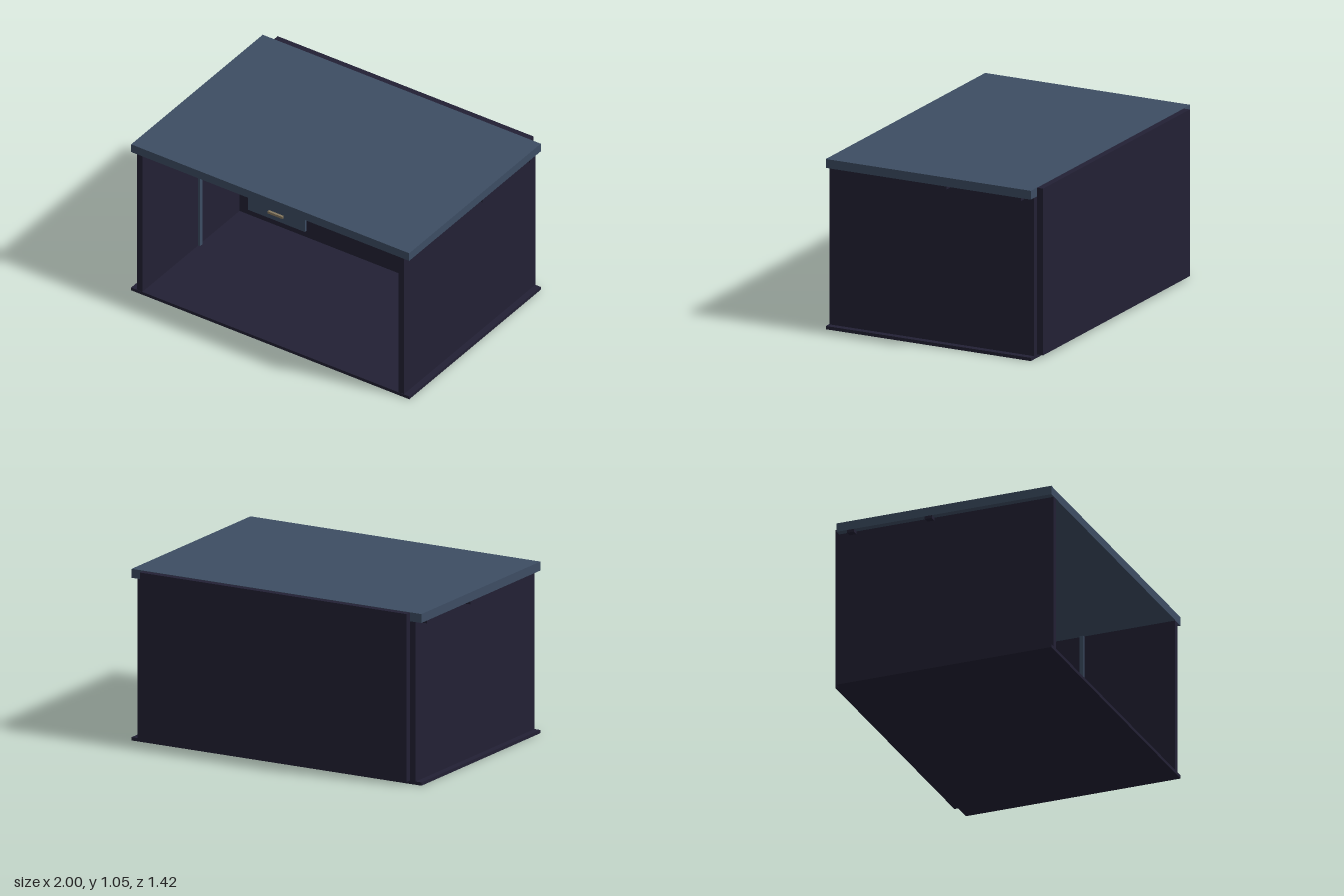
import * as THREE from 'three';

const mat = (name, hex) => Object.assign(new THREE.MeshStandardMaterial({ color: hex }), { name });

export function createModel() {
  const dark = mat('dark', 0x222034), slate = mat('slate', 0x3d4d63), tan = mat('tan', 0x85785f), brown = mat('brown', 0x4c4439);
  const root = new THREE.Group();
  root.name = 'cabin';

  const group = (name) => {
    const g = new THREE.Group();
    g.name = name;
    root.add(g);
    return g;
  };
  const add = (parent, name, geo, m, x = 0, y = 0, z = 0) => {
    const mesh = new THREE.Mesh(geo, m);
    mesh.name = name;
    mesh.position.set(x, y, z);
    parent.add(mesh);
    return mesh;
  };
  // box given by its limits on each axis
  const box = (parent, name, m, x0, x1, y0, y1, z0, z1) =>
    add(parent, name, new THREE.BoxGeometry(x1 - x0, y1 - y0, z1 - z0), m, (x0 + x1) / 2, (y0 + y1) / 2, (z0 + z1) / 2);
  // hollow rectangle of four bars
  const frame = (parent, name, m, x0, x1, y0, y1, z0, z1, t) => {
    box(parent, name, m, x0, x1, y0, y0 + t, z0, z1);
    box(parent, name, m, x0, x1, y1 - t, y1, z0, z1);
    box(parent, name, m, x0, x0 + t, y0 + t, y1 - t, z0, z1);
    box(parent, name, m, x1 - t, x1, y0 + t, y1 - t, z0, z1);
  };
  const disc = (parent, name, m, r, d, x, y, z) =>
    add(parent, name, new THREE.CylinderGeometry(r, r, d, 20).rotateX(Math.PI / 2), m, x, y, z);

  const wallZ = -0.67, deskZ = -0.31, deskY = 0.325;

  // shell
  const shell = group('shell');
  box(shell, 'floor', dark, -1, 1, 0, 0.02, wallZ, 0.71);
  box(shell, 'roof', slate, -1, 1, 1, 1.055, wallZ, 0.71);
  box(shell, 'backWall', dark, -0.92, 0.92, 0.02, 1.053, -0.71, wallZ);
  for (const s of [-1, 1]) {
    const wall = box(shell, 'sideWall', dark, -0.02, 0.02, 0.02, 1, wallZ, 0.708);
    wall.position.x = s * 0.94;
    box(shell, 'wallStrip', slate, s * 0.913 - 0.007, s * 0.913 + 0.007, 0.02, 1, 0.1, 0.125);
  }
  for (const z of [-0.08, -0.58]) box(shell, 'roofBeam', dark, -1, 1, 0.982, 1, z - 0.023, z + 0.023);
  box(shell, 'wallRail', slate, -0.91, 0.91, 0.632, 0.645, wallZ, -0.655);

  // counter with drawers
  const counter = group('counter');
  box(counter, 'counterBase', dark, -0.92, 0.92, 0.02, deskY, wallZ, deskZ);
  box(counter, 'counterEdge', slate, -0.91, 0.91, 0.31, 0.323, deskZ, deskZ + 0.012);
  for (const s of [-1, 1]) for (const y of [0.065, 0.17]) {
    const x = s * 0.645;
    box(counter, 'drawer', slate, x - 0.205, x + 0.205, y, y + 0.1, deskZ, deskZ + 0.015);
    box(counter, 'drawerHandle', tan, x - 0.053, x + 0.053, y + 0.042, y + 0.057, deskZ + 0.015, deskZ + 0.03);
  }

  // wall vents
  const vents = group('vents');
  box(vents, 'ventPanel', dark, -0.81, -0.55, 0.82, 0.905, wallZ, -0.66);
  frame(vents, 'ventFrame', slate, -0.81, -0.55, 0.82, 0.905, -0.66, -0.655, 0.006);
  for (let i = 0; i < 5; i++)
    box(vents, 'ventSlat', slate, -0.81, -0.55, 0.685 + i * 0.019, 0.692 + i * 0.019, wallZ, -0.655);

  // window with pixel landscape
  const win = group('window');
  box(win, 'windowPane', dark, -0.31, 0.31, 0.7, 0.95, wallZ, -0.66);
  frame(win, 'windowFrame', dark, -0.325, 0.325, 0.69, 0.96, wallZ, -0.635, 0.02);
  frame(win, 'frameTrim', brown, -0.325, 0.325, 0.69, 0.96, -0.635, -0.632, 0.005);
  box(win, 'windowSill', brown, -0.34, 0.34, 0.672, 0.688, wallZ, -0.61);
  box(win, 'mullion', slate, -0.008, 0.008, 0.7, 0.95, -0.66, -0.64);
  const p = 0.0095;
  const pixel = (name, m, x, y, h = p, z = -0.656) => box(win, name, m, x, x + p, y, y + h, -0.66, z);
  let seed = 7;
  const rnd = () => (seed = (seed * 16807) % 2147483647) / 2147483647;
  for (const side of [0, 1]) for (let i = 0; i < 30; i++) {
    const t = i / 29, x = side ? 0.012 + i * p : -0.3 + i * p;
    const band = side ? 0.862 + 0.024 * Math.sin(t * 4.6 + 0.4) - 0.01 * t
                      : 0.895 - 0.05 * Math.min(1, t * 2) + 0.006 * Math.sin(t * 9);
    const by = Math.round(band / p) * p;
    pixel('skyBand', tan, x, by);
    pixel('skyBandShade', slate, x, by + p, p, -0.657);
    const d = (t - (side ? 0.48 : 0.6)) / 0.28;
    const hill = Math.round((side ? 0.032 : 0.045) * Math.max(0, 1 - d * d) / p) * p;
    pixel('hill', slate, x, 0.708, 0.014 + hill, -0.657);
    if (hill > 0) pixel('hillTop', tan, x, 0.722 + hill, 0.006);
    if (i % 2 === 0) pixel('star', rnd() > 0.35 ? tan : slate, x, 0.79 + rnd() * 0.14, 0.007);
  }
  box(win, 'horizon', tan, -0.305, 0.305, 0.7, 0.708, -0.66, -0.654);

  // bookshelf
  const shelf = group('shelf');
  box(shelf, 'shelfBoard', slate, 0.385, 0.855, 0.732, 0.744, wallZ, -0.54);
  for (const x of [0.42, 0.81]) box(shelf, 'shelfBracket', slate, x - 0.006, x + 0.006, 0.685, 0.732, wallZ, -0.6);
  const books = [[0.415, 0.042, 0.125, dark, tan], [0.468, 0.036, 0.13, tan, brown], [0.512, 0.045, 0.13, tan, brown],
    [0.567, 0.038, 0.105, dark, tan], [0.618, 0.032, 0.13, slate, dark]];
  for (const [x, w, h, m, label] of books) {
    box(shelf, 'book', m, x, x + w, 0.744, 0.744 + h, -0.65, -0.56);
    box(shelf, 'bookLabel', label, x + w * 0.25, x + w * 0.75, 0.744 + h * 0.62, 0.744 + h * 0.82, -0.56, -0.556);
  }
  const pot = [[0, 0], [0.034, 0], [0.038, 0.045], [0.046, 0.052], [0.046, 0.062], [0.026, 0.075], [0.022, 0.1], [0, 0.108]];
  add(shelf, 'pot', new THREE.LatheGeometry(pot.map(q => new THREE.Vector2(...q)), 16), tan, 0.762, 0.744, -0.6);

  // radio set
  const radio = group('radio'), rz = -0.42;
  box(radio, 'radioCase', dark, -0.855, -0.38, deskY, 0.615, -0.65, rz);
  box(radio, 'radioLid', dark, -0.87, -0.365, 0.605, 0.62, -0.65, rz + 0.012);
  box(radio, 'radioFace', slate, -0.84, -0.395, 0.34, 0.59, rz, rz + 0.006);
  const fz = rz + 0.006;
  box(radio, 'scope', dark, -0.82, -0.62, 0.425, 0.53, fz, fz + 0.004);
  for (let i = 0; i < 18; i++) {
    const y = 0.477 + 0.033 * Math.sin(i * 0.66 + 0.3), x = -0.81 + i * 0.01;
    box(radio, 'wave', tan, x, x + 0.01, y - 0.007, y + 0.007, fz + 0.004, fz + 0.007);
  }
  [0.035, 0.075, 0.08, 0.055, 0.09, 0.045, 0.08].forEach((h, i) =>
    box(radio, 'levelBar', tan, -0.6 + i * 0.016, -0.587 + i * 0.016, 0.433, 0.433 + h, fz, fz + 0.005));
  for (let i = 0; i < 6; i++)
    box(radio, 'grille', dark, -0.477, -0.412, 0.433 + i * 0.016, 0.441 + i * 0.016, fz, fz + 0.004);
  for (const x of [-0.818, -0.798]) box(radio, 'button', tan, x, x + 0.015, 0.37, 0.4, fz, fz + 0.01);
  for (let i = 0; i < 4; i++) box(radio, 'tick', tan, -0.695 + i * 0.03, -0.687 + i * 0.03, 0.37, 0.4, fz, fz + 0.008);
  disc(radio, 'knob', tan, 0.021, 0.02, -0.455, 0.385, fz + 0.01);
  add(radio, 'antenna', new THREE.CylinderGeometry(0.004, 0.004, 0.09, 8), dark, -0.42, 0.665, -0.53);
  add(radio, 'antennaTip', new THREE.SphereGeometry(0.008, 10, 8), brown, -0.42, 0.712, -0.53);

  // computer
  const computer = group('computer'), cz = -0.44;
  box(computer, 'monitorCase', tan, -0.2, 0.2, 0.345, 0.648, -0.63, cz);
  box(computer, 'monitorFoot', brown, -0.17, 0.17, deskY, 0.345, -0.6, cz - 0.02);
  frame(computer, 'caseEdge', brown, -0.2, 0.2, 0.345, 0.648, cz, cz + 0.003, 0.005);
  box(computer, 'screenSurround', dark, -0.178, 0.178, 0.39, 0.625, cz, cz + 0.004);
  frame(computer, 'screenFrame', slate, -0.168, 0.168, 0.4, 0.615, cz + 0.004, cz + 0.012, 0.01);
  for (let i = 0; i < 3; i++)
    box(computer, 'monitorVent', brown, -0.185, -0.07, 0.357 + i * 0.01, 0.361 + i * 0.01, cz, cz + 0.003);
  for (const x of [0.085, 0.12]) disc(computer, 'monitorKnob', slate, 0.012, 0.012, x, 0.37, cz + 0.006);
  box(computer, 'keyboard', brown, -0.19, 0.195, deskY, 0.337, -0.42, -0.33);
  for (let r = 0; r < 3; r++) for (let i = 0; i < 13; i++)
    box(computer, 'key', tan, -0.183 + i * 0.029, -0.161 + i * 0.029, 0.337, 0.345, -0.413 + r * 0.028, -0.392 + r * 0.028);

  // notes and mug
  const bits = group('deskItems');
  box(bits, 'note', tan, 0.235, 0.283, 0.555, 0.603, wallZ, -0.665);
  box(bits, 'note', tan, 0.267, 0.315, 0.492, 0.54, wallZ, -0.665);
  add(bits, 'mug', new THREE.CylinderGeometry(0.025, 0.021, 0.06, 16), tan, 0.272, deskY + 0.03, -0.45);
  add(bits, 'mugRim', new THREE.CylinderGeometry(0.026, 0.026, 0.006, 16), brown, 0.272, deskY + 0.06, -0.45);
  add(bits, 'mugHandle', new THREE.TorusGeometry(0.014, 0.004, 8, 16), tan, 0.3, deskY + 0.032, -0.45);

  // safe
  const safe = group('safe');
  box(safe, 'safeBody', dark, 0.415, 0.66, deskY, 0.565, -0.65, -0.44);
  box(safe, 'safeDoor', tan, 0.438, 0.648, deskY + 0.004, 0.565, -0.44, -0.425);
  for (const y of [0.38, 0.5]) box(safe, 'hinge', brown, 0.648, 0.66, y, y + 0.03, -0.44, -0.425);
  add(safe, 'dialRing', new THREE.TorusGeometry(0.034, 0.005, 8, 24), dark, 0.535, 0.417, -0.422);
  box(safe, 'dialBar', dark, 0.505, 0.565, 0.412, 0.422, -0.425, -0.415);

  // conduit on the back wall
  const pipe = group('conduit');
  add(pipe, 'pipe', new THREE.CylinderGeometry(0.008, 0.008, 0.66, 12), slate, 0.88, 0.655, -0.645);
  for (const y of [0.79, 0.45]) box(pipe, 'pipeClip', tan, 0.86, 0.9, y - 0.008, y + 0.008, wallZ, -0.632);

  return root;
}
